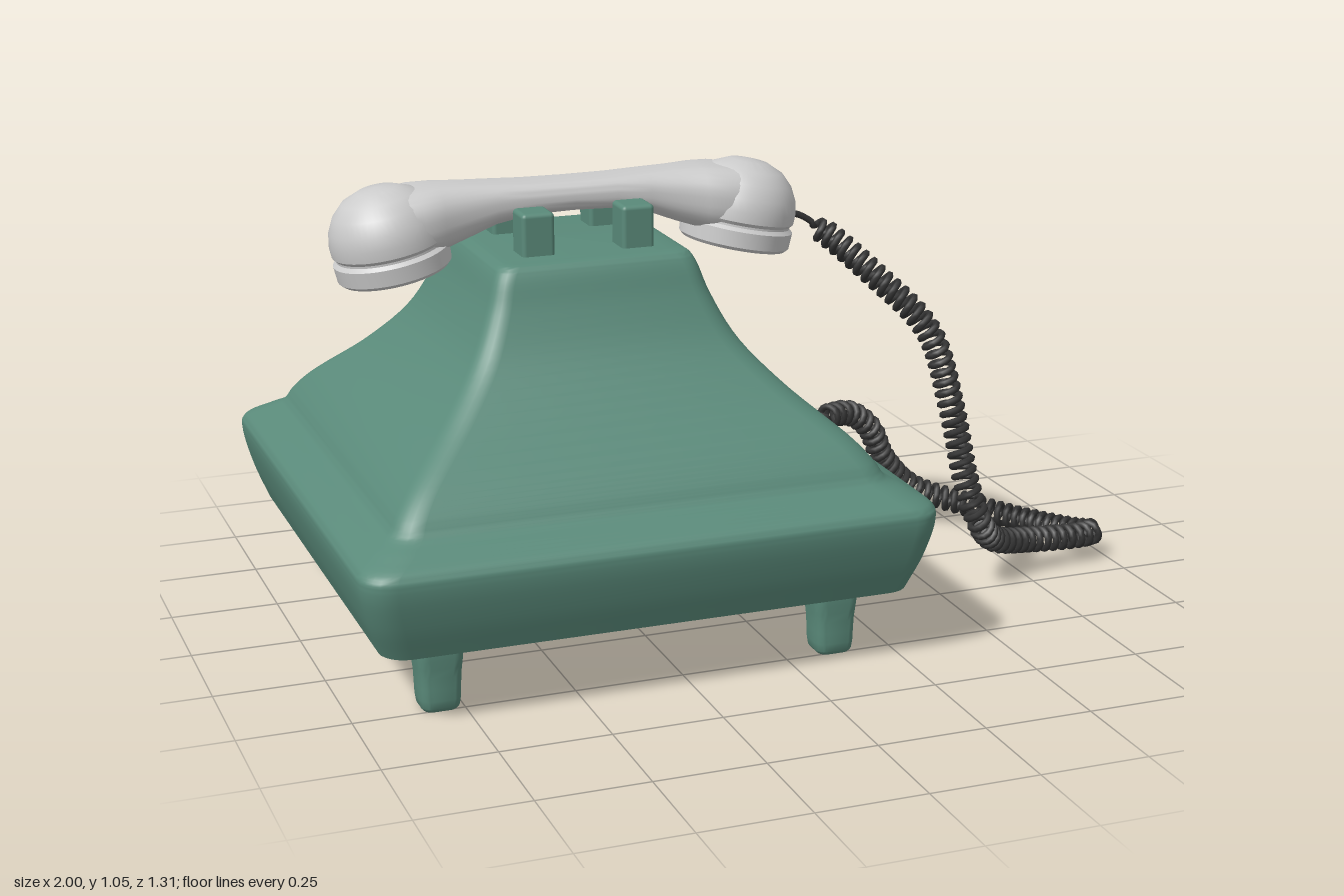
import * as THREE from 'three';
import { toCreasedNormals } from 'three/addons/utils/BufferGeometryUtils.js';
import { RoundedBoxGeometry } from 'three/addons/geometries/RoundedBoxGeometry.js';

const V = (x, y, z) => new THREE.Vector3(x, y, z);
const CX = -0.3425; // centre of the telephone body

// Rounded rectangle with half sizes a, b and corner radius r, counter-clockwise
function roundRect(a, b, r, n = 6) {
  const pts = [];
  const signs = [[1, 1], [-1, 1], [-1, -1], [1, -1]];
  signs.forEach(([sa, sb], k) => {
    for (let i = 0; i <= n; i++) {
      const t = (k + i / n) * Math.PI / 2;
      pts.push([sa * (a - r) + r * Math.cos(t), sb * (b - r) + r * Math.sin(t)]);
    }
  });
  return pts;
}

// Skin a list of rings and cap both ends
function loft(rings, crease = 0.6) {
  const n = rings[0].length, pos = [], idx = [];
  rings.forEach(r => r.forEach(p => pos.push(p.x, p.y, p.z)));
  for (let i = 0; i < rings.length - 1; i++) {
    for (let j = 0; j < n; j++) {
      const a = i * n + j, b = i * n + (j + 1) % n;
      idx.push(a, b, b + n, a, b + n, a + n);
    }
  }
  const last = (rings.length - 1) * n;
  for (let j = 1; j < n - 1; j++) {
    idx.push(0, j + 1, j, last, last + j, last + j + 1);
  }
  const g = new THREE.BufferGeometry();
  g.setAttribute('position', new THREE.Float32BufferAttribute(pos, 3));
  g.setIndex(idx);
  return toCreasedNormals(g, crease);
}

// Square upright loft from [half width, corner radius, height] sections
function squareTower(sections, steps) {
  const curve = new THREE.CatmullRomCurve3(sections.map(s => V(...s)), false, 'centripetal');
  return loft(curve.getPoints(steps).map(({ x: half, y: r, z: h }) =>
    roundRect(half, half, r).map(([p, q]) => V(q, h, p))));
}

function lathe(profile, segments = 48, crease = 0.6) {
  const pts = profile.map(([r, h]) => new THREE.Vector2(r, h));
  return toCreasedNormals(new THREE.LatheGeometry(pts, segments), crease);
}

export function createModel() {
  const model = new THREE.Group();
  const green = new THREE.MeshStandardMaterial({ color: 0x5a8a7a });
  const grey = new THREE.MeshStandardMaterial({ color: 0xcccccc });
  const black = new THREE.MeshStandardMaterial({ color: 0x333333 });
  const add = (name, geo, mat, x = 0, y = 0, z = 0, parent = model) => {
    const m = new THREE.Mesh(geo, mat);
    m.name = name;
    m.position.set(x, y, z);
    parent.add(m);
    return m;
  };

  // Body: flared skirt with a concave pyramid above
  add('body', squareTower([
    [0.605, 0.06, 0.17], [0.635, 0.065, 0.25], [0.655, 0.07, 0.335], [0.652, 0.07, 0.365],
    [0.61, 0.07, 0.395], [0.567, 0.06, 0.42], [0.548, 0.055, 0.45], [0.51, 0.05, 0.495],
    [0.395, 0.05, 0.6], [0.31, 0.05, 0.7], [0.26, 0.045, 0.8], [0.235, 0.04, 0.87],
    [0.222, 0.04, 0.89], [0.195, 0.03, 0.896]], 64), green, CX);

  // Feet and cradle posts
  const foot = squareTower([[0.037, 0.02, 0], [0.043, 0.024, 0.008], [0.047, 0.024, 0.08],
    [0.052, 0.024, 0.14], [0.05, 0.024, 0.18]], 12);
  const post = new RoundedBoxGeometry(0.076, 0.13, 0.08, 3, 0.01);
  for (const sx of [-1, 1]) {
    for (const sz of [-1, 1]) {
      add('foot', foot, green, CX + sx * 0.46, 0, sz * 0.468);
      add('cradlePost', post, green, CX + sx * 0.117, 0.927, sz * 0.117);
    }
  }

  // Handset
  const handset = new THREE.Group();
  handset.name = 'handset';
  handset.position.x = CX;
  model.add(handset);

  // Handle: [offset from middle, bottom, top, half depth], mirrored to both sides
  const half = [[0, 0.967, 1.033, 0.066], [0.1, 0.964, 1.034, 0.067], [0.18, 0.948, 1.038, 0.071],
    [0.25, 0.92, 1.041, 0.08], [0.31, 0.9, 1.043, 0.096], [0.36, 0.89, 1.04, 0.11], [0.43, 0.89, 1.03, 0.1]];
  const all = [...half.slice(1).reverse().map(([x, ...s]) => [-x, ...s]), ...half];
  add('handle', loft(all.map(([x, lo, hi, d]) => {
    const h = (hi - lo) / 2;
    return roundRect(h, d, h * 0.85).map(([p, q]) => V(x, (lo + hi) / 2 + p, q));
  }), 1.0), grey, 0, 0, 0, handset);

  // Domed ends with a ringed, recessed cup below
  const dome = lathe([[0, 0.025], [0.095, 0.025], [0.102, 0], [0.122, 0], [0.13, 0.008],
    [0.132, 0.045], [0.123, 0.053], [0.123, 0.058], [0.13, 0.066], [0.131, 0.09], [0.125, 0.12],
    [0.109, 0.152], [0.083, 0.178], [0.045, 0.195], [0, 0.2]]);
  for (const s of [-1, 1]) {
    const cup = add(s > 0 ? 'earpiece' : 'mouthpiece', dome, grey, s * 0.405, 0.85, 0, handset);
    cup.rotation.z = -s * 0.2;
  }

  // Dial on the sloping rear face
  const dial = new THREE.Group();
  dial.name = 'dial';
  dial.position.set(CX, 0.687, -0.395);
  dial.rotation.set(-0.65, Math.PI, 0, 'YXZ');
  model.add(dial);
  const disc = new THREE.Shape().absarc(0, 0, 0.178, 0, Math.PI * 2);
  for (let i = 0; i < 10; i++) {
    const t = THREE.MathUtils.degToRad(70 - i * 25.5);
    disc.holes.push(new THREE.Path().absarc(0.123 * Math.cos(t), 0.123 * Math.sin(t), 0.023, 0, Math.PI * 2, true));
  }
  const plate = new THREE.ExtrudeGeometry(disc, {
    depth: 0.012, bevelThickness: 0.004, bevelSize: 0.004, bevelSegments: 2, curveSegments: 24 });
  add('fingerWheel', toCreasedNormals(plate, 0.6), grey, 0, 0, -0.016, dial);
  const backing = lathe([[0, -0.06], [0.18, -0.06], [0.185, -0.055], [0.185, -0.02], [0.18, -0.015], [0, -0.015]]);
  const hub = lathe([[0.08, -0.005], [0.08, 0.005], [0.072, 0.011], [0.034, 0.011], [0.034, 0.013],
    [0.028, 0.016], [0.026, 0.034], [0.02, 0.039], [0, 0.04]], 32);
  add('dialBacking', backing, grey, 0, 0, 0, dial).rotation.x = Math.PI / 2;
  add('dialHub', hub, grey, 0, 0, 0, dial).rotation.x = Math.PI / 2;

  // Coiled cord: a helix wound around a guide path, straight at both ends
  const path = new THREE.CatmullRomCurve3([
    V(0.18, 0.91, 0), V(0.23, 0.9, 0), V(0.28, 0.865, 0.01), V(0.38, 0.765, 0.1), V(0.485, 0.64, 0.18),
    V(0.54, 0.45, 0.205), V(0.56, 0.28, 0.25), V(0.59, 0.18, 0.268), V(0.65, 0.115, 0.228),
    V(0.78, 0.08, 0.18), V(0.93, 0.066, 0.158), V(0.966, 0.062, 0.138), V(0.95, 0.052, 0.09),
    V(0.88, 0.042, -0.05), V(0.78, 0.055, -0.175), V(0.65, 0.1, -0.245), V(0.575, 0.18, -0.252),
    V(0.53, 0.27, -0.245), V(0.47, 0.317, -0.236), V(0.38, 0.328, -0.195), V(0.34, 0.342, -0.175),
    V(0.29, 0.345, -0.17)], false, 'centripetal');
  path.arcLengthDivisions = 1000;
  const turns = 95, steps = turns * 12;
  const frames = path.computeFrenetFrames(steps, false);
  const length = path.getLength();
  const coil = [];
  for (let i = 0; i <= steps; i++) {
    const u = i / steps, t = u * turns * Math.PI * 2;
    const fromEnd = Math.min(u, 1 - u) * length;
    const r = 0.025 * THREE.MathUtils.smoothstep(fromEnd, 0.085, 0.12);
    coil.push(path.getPointAt(u)
      .addScaledVector(frames.normals[i], r * Math.cos(t))
      .addScaledVector(frames.binormals[i], r * Math.sin(t)));
  }
  const wire = new THREE.CatmullRomCurve3(coil);
  wire.arcLengthDivisions = steps * 2;
  add('cord', new THREE.TubeGeometry(wire, steps, 0.0085, 6), black);

  // Cord sockets on the handset and the body
  add('handsetSocket', new RoundedBoxGeometry(0.03, 0.024, 0.024, 2, 0.004), black, 0.195, 0.907, 0);
  add('bodySocket', new RoundedBoxGeometry(0.03, 0.026, 0.026, 2, 0.004), black, 0.308, 0.345, -0.17);
  return model;
}
